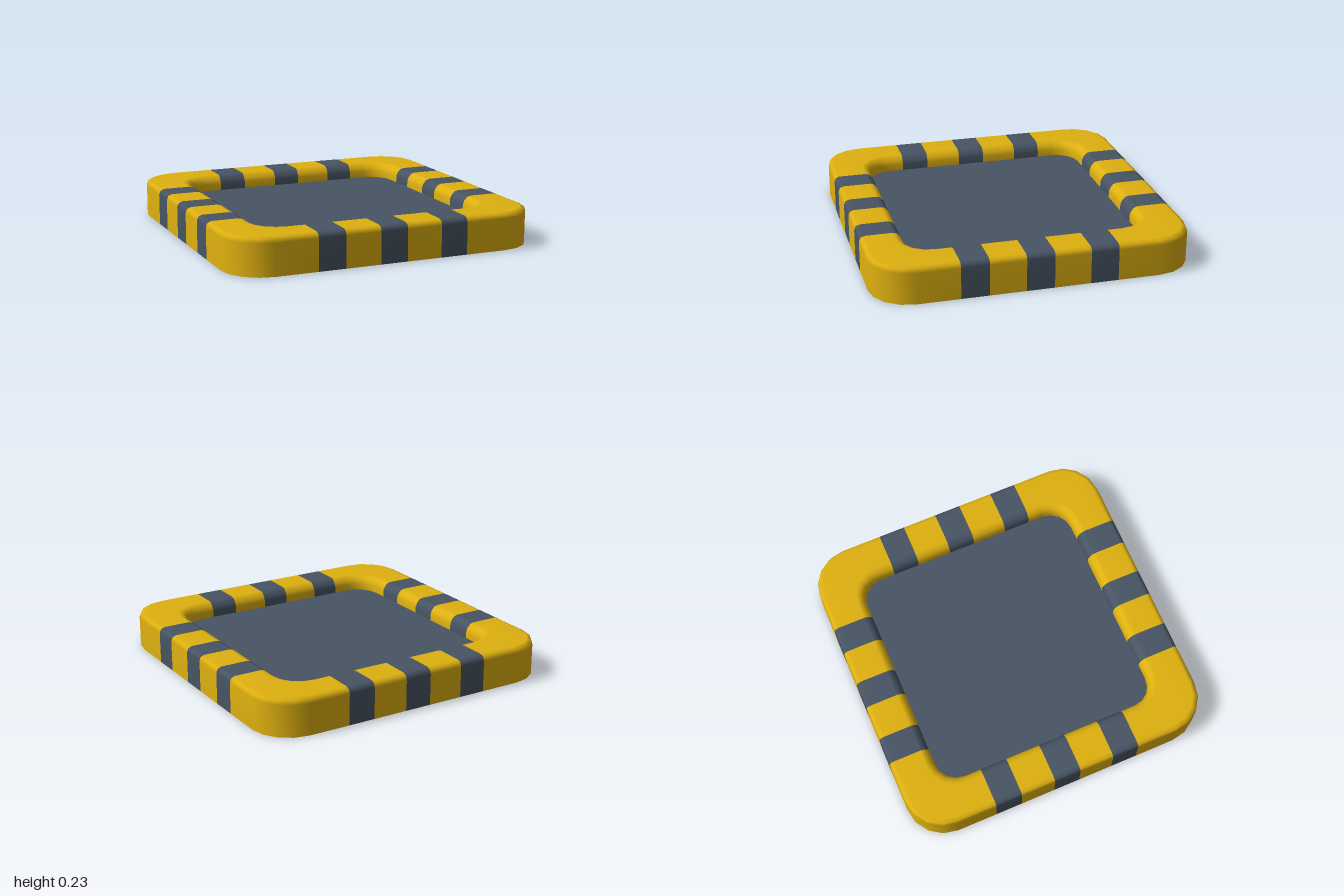
import * as THREE from 'three';

const gold = new THREE.MeshStandardMaterial({ color: 0xdeb010, side: THREE.DoubleSide });
gold.name = 'gold';
const slate = new THREE.MeshStandardMaterial({ color: 0x475463, side: THREE.DoubleSide });
slate.name = 'slate';

// Cross-section of the rim: half width, corner radius, height
const PROFILE = [
  [1, 0.25, 0], [1, 0.25, 0.2], [0.99, 0.24, 0.225], [0.965, 0.215, 0.235],
  [0.79, 0.2, 0.235], [0.765, 0.18, 0.228], [0.745, 0.16, 0.205], [0.735, 0.15, 0.18], [0.735, 0.15, 0.134],
];
// Stripe edges along each straight side
const STRIPES = [-0.487, -0.313, -0.087, 0.087, 0.313, 0.487];
const CORNER_STEPS = 4;

// Points of one rounded-square loop, one side and its corner at a time
function squareLoop(h, r) {
  const side = STRIPES.map((t) => [h, t]);
  for (let i = 0; i <= CORNER_STEPS; i++) {
    const a = (i / CORNER_STEPS) * Math.PI / 2;
    side.push([h - r + r * Math.cos(a), h - r + r * Math.sin(a)]);
  }
  const points = [];
  let turned = side;
  for (let k = 0; k < 4; k++) {
    points.push(...turned);
    turned = turned.map(([x, z]) => [-z, x]);
  }
  return points;
}

// Hollow striped rim, open underneath
function rimGeometry() {
  const positions = [];
  for (const [h, r, y] of PROFILE) {
    for (const [x, z] of squareLoop(h, r)) positions.push(x, y, z);
  }
  const perSide = STRIPES.length + CORNER_STEPS + 1;
  const n = perSide * 4;
  const goldFaces = [];
  const slateFaces = [];
  for (let p = 0; p < PROFILE.length - 1; p++) {
    for (let i = 0; i < n; i++) {
      const j = i % perSide;
      const striped = j < STRIPES.length - 1 && j % 2 === 0;
      const a = p * n + i;
      const b = p * n + (i + 1) % n;
      (striped ? slateFaces : goldFaces).push(a, a + n, b + n, a, b + n, b);
    }
  }
  const geometry = new THREE.BufferGeometry();
  geometry.setAttribute('position', new THREE.Float32BufferAttribute(positions, 3));
  geometry.setIndex([...goldFaces, ...slateFaces]);
  geometry.addGroup(0, goldFaces.length, 0);
  geometry.addGroup(goldFaces.length, slateFaces.length, 1);
  geometry.computeVertexNormals();
  return geometry;
}

export function createModel() {
  const model = new THREE.Group();
  model.name = 'stripedFloorPlate';

  const rim = new THREE.Mesh(rimGeometry(), [gold, slate]);
  rim.name = 'stripedRim';
  model.add(rim);

  // Sunken square panel inside the rim
  const panel = new THREE.Mesh(new THREE.BoxGeometry(1.575, 0.006, 1.575), slate);
  panel.name = 'centrePanel';
  panel.position.y = 0.134;
  model.add(panel);

  return model;
}
